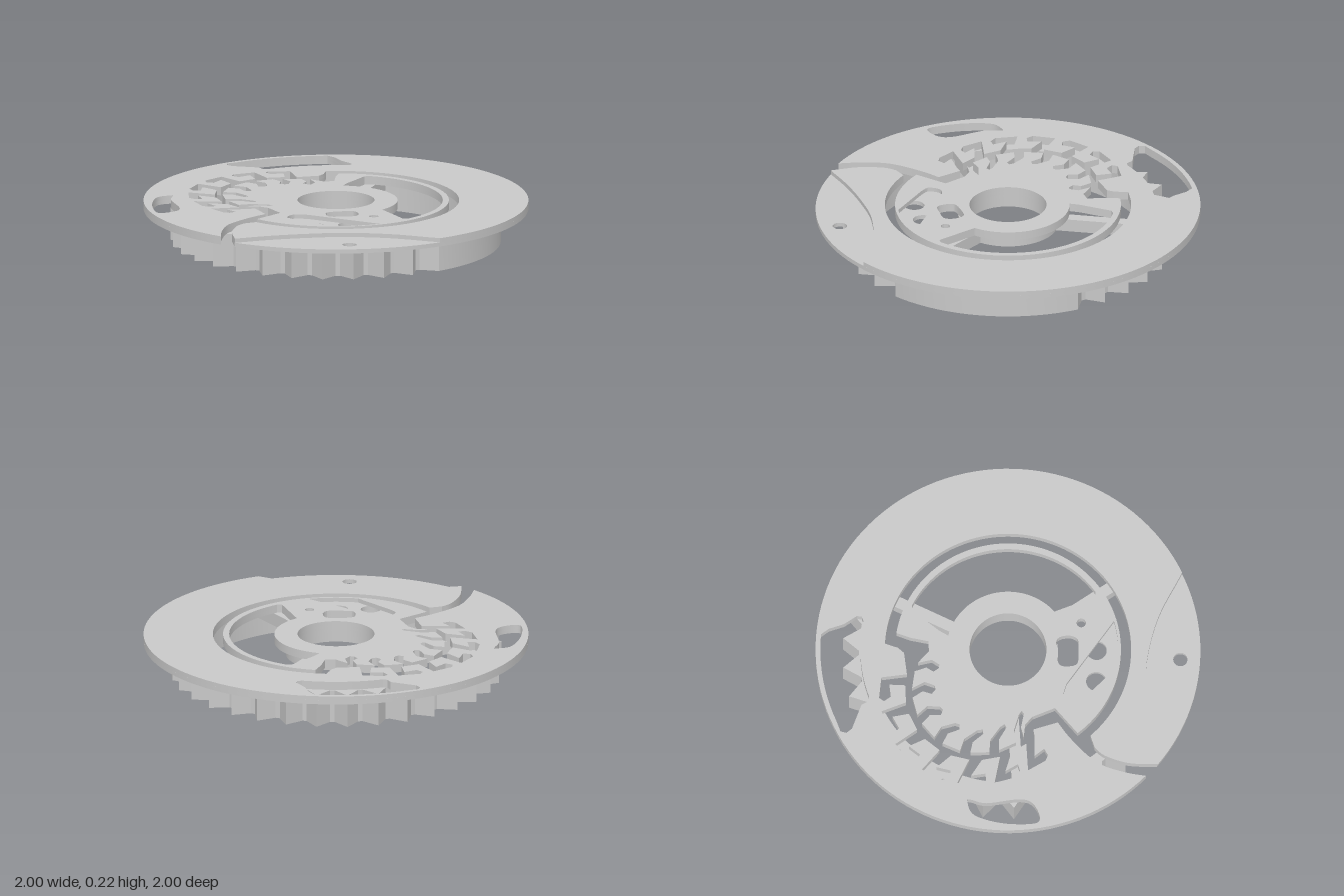
import * as THREE from 'three';
import { toCreasedNormals } from 'three/addons/utils/BufferGeometryUtils.js';

const RAD = Math.PI / 180;
const BOTTOM = 0.173, STEP = 0.195, TOP = 0.217;

// Plan points are [x, z]; angles run from +x towards +z
const polar = (r, deg) => [r * Math.cos(deg * RAD), r * Math.sin(deg * RAD)];

function arc(r, from, to, cx = 0, cz = 0) {
  const n = Math.max(2, Math.ceil(Math.abs(to - from) / 3));
  return Array.from({ length: n + 1 }, (_, i) => {
    const [x, z] = polar(r, from + (to - from) * i / n);
    return [x + cx, z + cz];
  });
}

function circle(r, cx = 0, cz = 0) {
  return arc(r, 0, 357, cx, cz);
}

// Smooth curve through a few plan points
function smooth(pts, closed = false, n = 30) {
  const c = new THREE.CatmullRomCurve3(pts.map(([x, z]) => new THREE.Vector3(x, 0, z)), closed, 'catmullrom', 0.5);
  const out = c.getPoints(n).map(p => [p.x, p.z]);
  if (closed) out.pop();
  return out;
}

// Upright slab from a plan outline with holes, wound so every wall faces out of the solid
function slab(outline, holes, y0, y1) {
  const wound = (pts, clockwise) => {
    const v = pts.map(([x, z]) => new THREE.Vector2(x, -z));
    return THREE.ShapeUtils.isClockWise(v) === clockwise ? v : v.reverse();
  };
  const shape = new THREE.Shape(wound(outline, false));
  shape.holes = holes.map(h => new THREE.Path(wound(h, true)));
  const geo = new THREE.ExtrudeGeometry(shape, { depth: y1 - y0, bevelEnabled: false });
  geo.rotateX(-Math.PI / 2);
  geo.translate(0, y0, 0);
  return toCreasedNormals(geo, 0.4);
}

// Repeats a hooked notch pattern of [cell fraction, radius] around the left side,
// bulging outwards in the middle of its run
function hooks(pattern) {
  const out = [], start = 168, span = 100, cells = 7;
  for (let k = 0; k < cells; k++) {
    for (const [u, r] of pattern) {
      const t = (k + u) / cells;
      const bulge = 0.16 * Math.sin(THREE.MathUtils.clamp(t, 0, 1) * Math.PI);
      out.push(polar(r + bulge, start + t * span));
    }
  }
  return out;
}

export function createModel() {
  const model = new THREE.Group();
  const grey = new THREE.MeshStandardMaterial({ color: 0xc8c8c8 });
  grey.name = 'plain grey';
  const add = (name, geo, parent = model) => {
    const mesh = new THREE.Mesh(geo, grey);
    mesh.name = name;
    parent.add(mesh);
    return mesh;
  };
  const group = name => {
    const g = new THREE.Group();
    g.name = name;
    model.add(g);
    return g;
  };

  // Outer plate: a disc cut by the exit slot, hooked gap and ring slot
  const outerGap = [
    ...smooth([[-0.747, 0.665], [-0.72, 0.56], [-0.67, 0.44], [-0.6, 0.36], [-0.5, 0.28], [-0.42, 0.23]], false, 20).slice(1),
    [-0.45, 0.1],
    ...hooks([[0, 0.5], [0.2, 0.59], [-0.2, 0.58], [-0.25, 0.62], [-0.1, 0.645], [0.5, 0.64], [0.4, 0.5]]),
    [0.02, -0.54], [0.05, -0.57],
    ...arc(0.64, -83, 142),
    ...smooth([[-0.57, 0.41], [-0.62, 0.46], [-0.67, 0.58], [-0.685, 0.72]], false, 12),
  ];
  const topWindow = [
    [-0.39, -0.9], ...arc(0.975, -110, -81),
    [0.18, -0.92], [0.2, -0.84], [0.24, -0.77], [0.235, -0.745], [0.21, -0.738],
    ...arc(0.767, -75, -106),
    [-0.235, -0.745], [-0.25, -0.78], [-0.38, -0.84], [-0.4, -0.87],
  ];
  const sideWindow = smooth([[-0.82, -0.27], [-0.9, -0.24], [-0.955, -0.1], [-0.97, 0.06], [-0.94, 0.1],
    [-0.86, 0.07], [-0.83, 0], [-0.84, -0.17], [-0.815, -0.25]], true, 50);
  const pinHole = circle(0.037, -0.11, 0.89);
  const segmentEdge = smooth([[-0.685, 0.73], [-0.5, 0.705], [-0.3, 0.7], [-0.1, 0.718], [0.13, 0.795], [0.355, 0.93]], false, 24);

  const outer = group('outerPlate');
  add('outerPlateBase', slab([...arc(1, 133.3, -221.7), ...outerGap],
    [topWindow, sideWindow, pinHole], BOTTOM, STEP), outer);
  add('outerPlateTop', slab([...arc(1, 68.8, -221.7), ...outerGap, ...segmentEdge.slice(0, -1)],
    [topWindow, sideWindow], STEP, TOP), outer);

  // Inner plate: interlocks with the outer plate along the hooked gap
  const innerOutline = [
    ...arc(0.587, -77, 146),
    [-0.38, 0.25], [-0.34, 0.22], [-0.38, 0.1], [-0.42, 0.06],
    ...hooks([[0.45, 0.46], [0.5, 0.4], [0.2, 0.35], [0.3, 0.325], [0.5, 0.33], [0.85, 0.39], [0.8, 0.46]]),
    [0.02, -0.41], [0.075, -0.41], [0.1, -0.5],
  ];
  const bore = circle(0.2);
  const bigWindow = [...arc(0.555, -60, 59), [0.26, 0.475], ...arc(0.32, 53, -72), [0.13, -0.35], [0.25, -0.48]];
  const roundedHole = smooth([[-0.1, 0.26], [-0.03, 0.25], [0.04, 0.26], [0.055, 0.32],
    [0.03, 0.365], [-0.03, 0.365], [-0.1, 0.355], [-0.115, 0.31]], true, 32);
  const smallHole = circle(0.024, 0.12, 0.39);
  const recess = [...smooth([[-0.3, 0.37], [-0.325, 0.32], [-0.28, 0.27], [-0.21, 0.29]], false, 10),
    ...arc(0.573, 78, 104)];
  const recessHoles = [circle(0.052, -0.2, 0.445), circle(0.052, -0.03, 0.46)];

  const inner = group('innerPlate');
  add('innerPlateBase', slab(innerOutline, [bore, bigWindow, roundedHole, smallHole, ...recessHoles], BOTTOM, STEP), inner);
  add('innerPlateTop', slab(innerOutline, [bore, bigWindow, roundedHole, smallHole, recess], STEP, TOP), inner);

  // Toothed ring with a plain stretch at the front right
  const teeth = 27, pitch = 292 / teeth;
  const ringOutline = arc(0.857, -5, 63);
  for (let k = 0; k < teeth; k++) {
    const a = 63 + k * pitch;
    ringOutline.push(polar(0.775, a + pitch * 0.42), polar(0.775, a + pitch * 0.58));
    if (k < teeth - 1) ringOutline.push(polar(0.86, a + pitch));
  }
  add('toothedRing', slab(ringOutline, [circle(0.72)], 0, BOTTOM));

  // Hub collar and three spokes under the plate
  add('hubCollar', slab(circle(0.26), [bore], 0.105, BOTTOM));
  const spokes = group('spokes');
  for (const a of [-60, 60, 180]) {
    const spoke = add('spoke', new THREE.BoxGeometry(0.49, BOTTOM - 0.105, 0.06), spokes);
    const [x, z] = polar(0.49, a);
    spoke.position.set(x, (BOTTOM + 0.105) / 2, z);
    spoke.rotation.y = -a * RAD;
  }
  return model;
}
